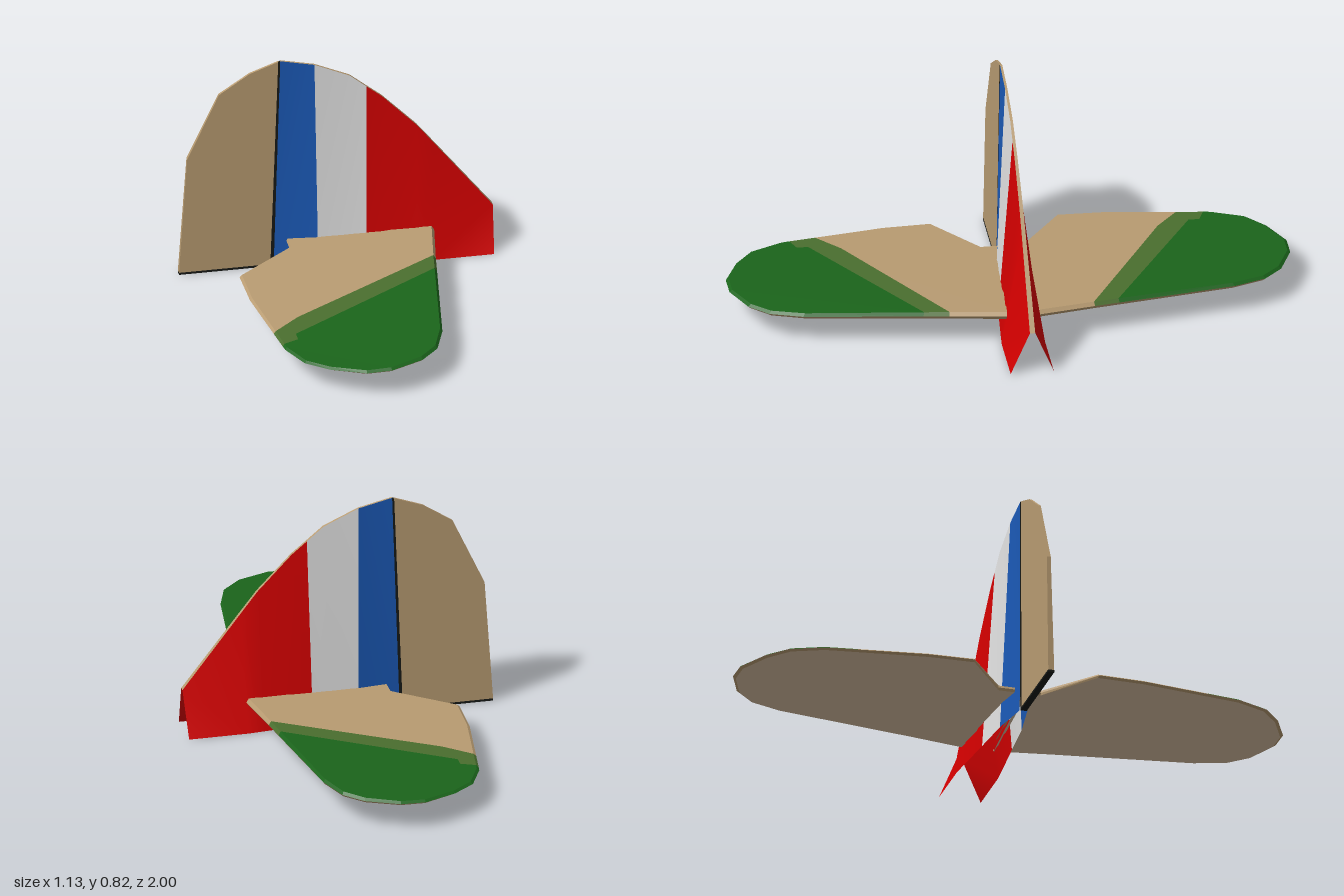
import * as THREE from 'three';
import { mergeVertices } from 'three/addons/utils/BufferGeometryUtils.js';

const material = (name, color) => {
  const m = new THREE.MeshStandardMaterial({ color, side: THREE.DoubleSide });
  m.name = name;
  return m;
};

// Mesh from a list of triangles, each three [x, y, z] corners; flat unless smooth
function facets(name, mat, tris, smooth = false) {
  let g = new THREE.BufferGeometry();
  g.setAttribute('position', new THREE.Float32BufferAttribute(tris.flat(2), 3));
  if (smooth) g = mergeVertices(g);
  g.computeVertexNormals();
  const mesh = new THREE.Mesh(g, mat);
  mesh.name = name;
  return mesh;
}
const quad = (a, b, c, d) => [[a, b, c], [a, c, d]];

// Half thickness of the fin and rudder edges, thinning towards the top
const edge = y => 0.011 - 0.0085 * y;

// Slab in the x-y plane, as thick as the edge plus a little extra on each side
function slab(name, mat, points, extra) {
  const shape = new THREE.Shape(points.map(p => new THREE.Vector2(...p)));
  const g = new THREE.ExtrudeGeometry(shape, { depth: 1, bevelEnabled: false });
  const pos = g.attributes.position;
  for (let i = 0; i < pos.count; i++) {
    pos.setZ(i, (pos.getZ(i) * 2 - 1) * (edge(pos.getY(i)) + extra));
  }
  g.computeVertexNormals();
  const mesh = new THREE.Mesh(g, mat);
  mesh.name = name;
  return mesh;
}

export function createModel() {
  const tan = material('tan', 0xb99c72);
  const pale = material('pale underside', 0xdcc2a4);
  const blue = material('blue', 0x1b5ab8);
  const white = material('white', 0xe4e4e4);
  const red = material('red', 0xd60000);
  const green = material('green', 0x1b651b);
  const olive = material('olive', 0x4b6f2f);
  const dark = material('dark gap', 0x171916);
  const model = new THREE.Group();

  // Fin: open shell of two skins, flared at the base. Columns: base x, top x, top y, base half width
  const columns = [
    [-0.225, -0.2, 0.825, 0.014],
    [-0.07, -0.077, 0.797, 0.04],
    [0.03, 0.05, 0.74, 0.049],
    [0.1, 0.11, 0.69, 0.055],
    [0.155, 0.165, 0.645, 0.06],
    [0.28, 0.29, 0.515, 0.072],
    [0.34, 0.35, 0.438, 0.077],
    [0.555, 0.563, 0.163, 0.077],
  ];
  const bands = [['blueBand', blue, 0, 1], ['whiteBand', white, 1, 3], ['redBand', red, 3, 7]];
  for (const [name, mat, from, to] of bands) {
    const tris = [];
    for (let i = from; i < to; i++) {
      const [a, b] = [columns[i], columns[i + 1]];
      for (const s of [1, -1]) {
        tris.push(...quad([a[0], 0, s * a[3]], [b[0], 0, s * b[3]],
          [b[1], b[2], s * edge(b[2])], [a[1], a[2], s * edge(a[2])]));
      }
    }
    model.add(facets(name, mat, tris, true));
  }

  // Narrow strip closing the leading edge of the fin
  const strip = [];
  for (let i = 0; i < columns.length - 1; i++) {
    const [, ax, ay] = columns[i], [, bx, by] = columns[i + 1];
    strip.push(...quad([ax, ay, edge(ay)], [bx, by, edge(by)], [bx, by, -edge(by)], [ax, ay, -edge(ay)]));
  }
  model.add(facets('finLeadingEdge', tan, strip));

  // Rudder with the dark hinge gap and dark lower edge
  model.add(slab('rudder', tan, [[-0.565, 0.006], [-0.232, 0.006], [-0.206, 0.823], [-0.31, 0.785],
    [-0.42, 0.712], [-0.535, 0.462]], 0));
  model.add(slab('hingeGap', dark, [[-0.237, 0], [-0.225, 0], [-0.2, 0.822], [-0.207, 0.822]], 0.001));
  model.add(slab('rudderLowerEdge', dark, [[-0.565, 0], [-0.232, 0], [-0.232, 0.008], [-0.565, 0.008]], 0.0005));

  // Tailplane: outline points are [x, z]; level is +1 top, 0 rim, -1 underside
  const point = ([x, z], level) => {
    const y = 0.1046 + 0.0247 * x + level * (0.011 + 0.01 * x) * (1 - 0.3 * z);
    return level ? [-0.03 + (x + 0.03) * 0.975, y, z * 0.99] : [x, y, z];
  };
  const cap = (outline, level) => {
    const pts = outline.map(p => new THREE.Vector2(...p));
    return THREE.ShapeUtils.triangulateShape(pts, []).map(t => t.map(i => point(outline[i], level)));
  };
  const rim = (run, level) => run.slice(1).flatMap((p, i) =>
    quad(point(run[i], level), point(p, level), point(p, 0), point(run[i], 0)));

  const innerTrail = [[-0.18, 0.015], [-0.18, 0.078], [-0.39, 0.23], [-0.385, 0.4], [-0.348, 0.65]];
  const innerLine = [[-0.25, 0.57], [-0.06, 0.465]];
  const innerLead = [[0.31, 0.26], [0.343, 0.058]];
  const bandTrail = [[-0.348, 0.65], [-0.334, 0.745]];
  const bandLine = [[-0.28, 0.725], [-0.28, 0.685]];
  const bandLead = [[0.297, 0.35], [0.31, 0.26]];
  const tip = [[-0.334, 0.745], [-0.33, 0.77], [-0.28, 0.88], [-0.2, 0.945], [-0.08, 1], [0.01, 1],
    [0.13, 0.95], [0.195, 0.885], [0.235, 0.77], [0.297, 0.35]];
  const zones = [
    ['innerPanel', tan, [...innerTrail, ...innerLine, ...innerLead], [innerTrail, innerLead]],
    ['blendBand', olive, [...bandTrail, ...bandLine, ...bandLead, ...innerLine.slice().reverse()],
      [bandTrail, bandLead]],
    ['tipPanel', green, [...tip, ...bandLine.slice().reverse()], [tip]],
  ];
  const outline = [...innerTrail, ...tip, ...innerLead];

  for (const side of [1, -1]) {
    const half = new THREE.Group();
    half.name = side > 0 ? 'frontTailplane' : 'rearTailplane';
    for (const [name, mat, area, runs] of zones) {
      half.add(facets(name, mat, [...cap(area, 1), ...runs.flatMap(r => rim(r, 1))]));
    }
    half.add(facets('underside', pale, cap(outline, -1)));
    half.add(facets('lowerRim', tan, rim(outline, -1)));
    half.scale.z = side;
    model.add(half);
  }
  return model;
}
